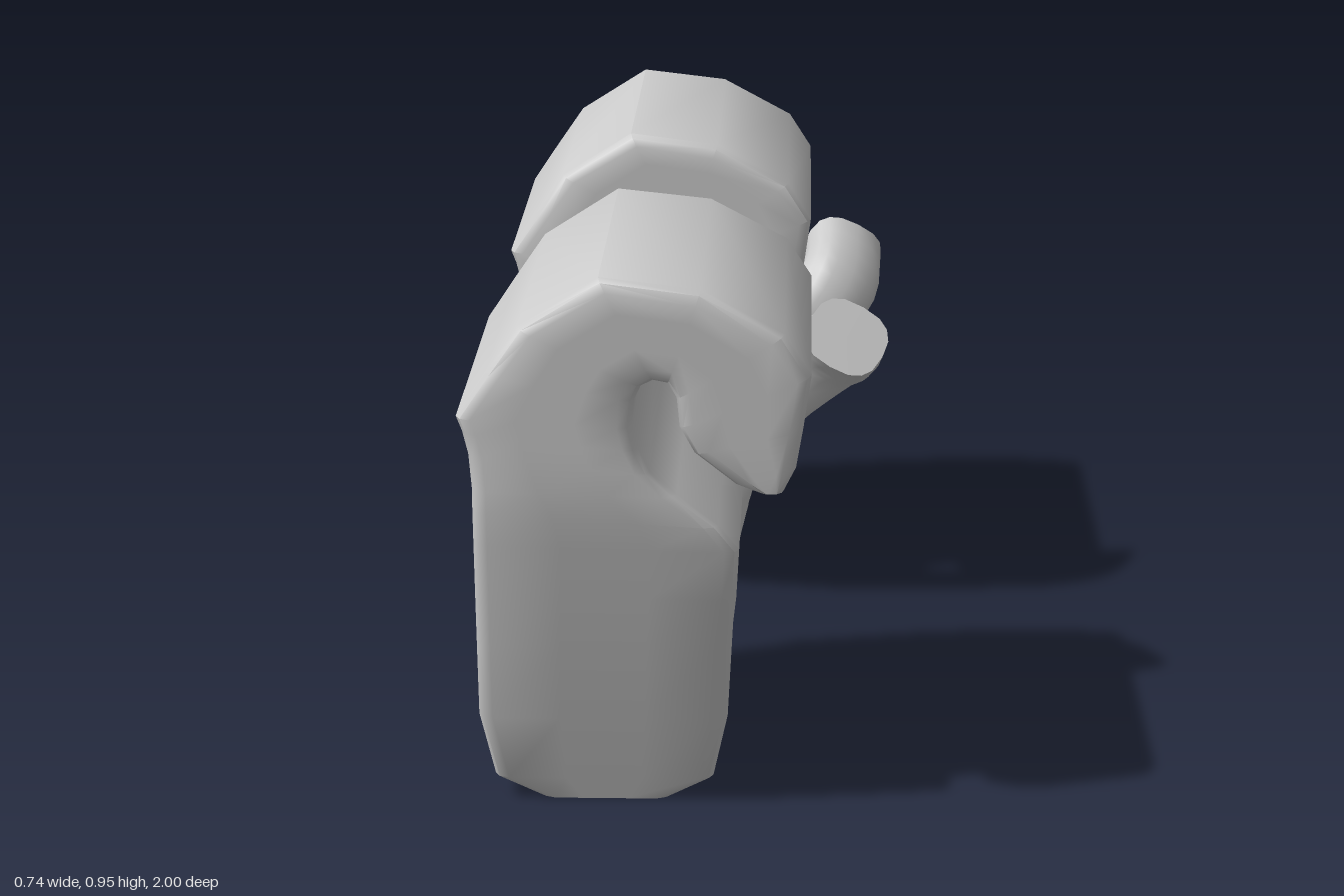
import * as THREE from 'three';
import { toCreasedNormals } from 'three/addons/utils/BufferGeometryUtils.js';

const material = new THREE.MeshStandardMaterial({ color: 0xcccccc });

// Skin a list of closed rings (arrays of Vector3) and cap both ends
function loft(rings, crease) {
  const n = rings[0].length, last = rings.length - 1;
  const points = rings.flat(), index = [];
  for (let k = 0; k < last; k++) {
    for (let i = 0; i < n; i++) {
      const j = (i + 1) % n, a = k * n, b = a + n;
      index.push(a + i, a + j, b + j, a + i, b + j, b + i);
    }
  }
  for (const k of [0, last]) {
    const c = points.length;
    points.push(rings[k].reduce((s, p) => s.add(p), new THREE.Vector3()).divideScalar(n));
    for (let i = 0; i < n; i++) {
      const a = k * n + i, b = k * n + (i + 1) % n;
      if (k === 0) index.push(c, b, a);
      else index.push(c, a, b);
    }
  }
  const geometry = new THREE.BufferGeometry().setFromPoints(points);
  geometry.setIndex(index);
  return toCreasedNormals(geometry, crease);
}

// Piecewise linear lookup in [key, value] pairs
function lookup(table, y) {
  for (let i = 1; i < table.length; i++) {
    const [y0, v0] = table[i - 1], [y1, v1] = table[i];
    if (y <= y1) return v0 + (v1 - v0) * Math.max(0, (y - y0) / (y1 - y0));
  }
  return table[table.length - 1][1];
}

// Outer z and inner z of the hand at each height
const outerZ = [[0, 0.88], [0.2, 0.928], [0.4, 0.968], [0.55, 0.995], [0.62, 1]];
const innerZ = [[0, 0.385], [0.2, 0.31], [0.4, 0.25], [0.5, 0.235], [0.65, 0.235]];

// Palm and curled fingers: pairs of back and inside outline points, from wrist to fingertips
const outline = [
  [-0.24, 0, -0.015, 0], [-0.32, 0.04, 0.06, 0.04], [-0.345, 0.16, 0.085, 0.16],
  [-0.345, 0.3, 0.09, 0.3], [-0.345, 0.4, 0.1, 0.39], [-0.345, 0.49, 0.105, 0.48],
  [-0.345, 0.55, 0.07, 0.525], [-0.345, 0.59, 0, 0.58], [-0.35, 0.65, -0.045, 0.62],
  [-0.36, 0.69, -0.065, 0.66], [-0.37, 0.715, -0.075, 0.7], [-0.32, 0.79, -0.072, 0.745],
  [-0.265, 0.87, -0.06, 0.77], [-0.13, 0.955, -0.04, 0.78], [0.04, 0.935, -0.015, 0.775],
  [0.18, 0.86, 0, 0.75], [0.225, 0.79, 0.005, 0.7], [0.212, 0.7, 0.03, 0.655],
  [0.2, 0.63, 0.1, 0.6], [0.18, 0.59, 0.14, 0.588],
];

function palmGeometry() {
  const rings = outline.map(([ax, ay, bx, by]) => {
    const width = Math.hypot(bx - ax, by - ay);
    const r = Math.min(0.025, width * 0.3) / width;
    // [position across, inset from the side face]
    const side = [[0, 0.025], [r * 0.3, 0.008], [r, 0], [0.33, 0], [0.67, 0], [1 - r, 0], [1 - r * 0.3, 0.008], [1, 0.025]];
    const at = (t, inset, front) => {
      const x = ax + (bx - ax) * t, y = ay + (by - ay) * t;
      const z = front ? lookup(outerZ, y) - inset
        : lookup(innerZ, y) - 0.05 * (x + 0.07) + inset;
      return new THREE.Vector3(x, y, z);
    };
    return [
      ...side.map(([t, inset]) => at(t, inset, true)),
      ...side.slice().reverse().map(([t, inset]) => at(t, inset, false)),
    ];
  });
  return loft(rings, 0.75);
}

// Thumb: centre, half width and half thickness of each section
const thumbSections = [
  [[-0.05, 0.12, 0.42], [0.1, 0, 0], [0, -0.02, -0.06]],
  [[-0.01, 0.3, 0.32], [0.1, -0.02, 0.01], [0, -0.02, -0.06]],
  [[0.04, 0.44, 0.25], [0.08, -0.05, 0.03], [0, -0.02, -0.06]],
  [[0.085, 0.505, 0.225], [0.055, -0.08, 0.02], [-0.01, -0.02, -0.055]],
  [[0.16, 0.555, 0.215], [0.04, -0.06, 0], [0, 0, -0.05]],
  [[0.235, 0.61, 0.213], [0.05, -0.05, 0], [0.02, 0, -0.048]],
  [[0.28, 0.66, 0.26], [0.06, -0.05, 0], [0.03, 0.03, -0.045]],
  [[0.29, 0.705, 0.375], [0.065, -0.035, 0.01], [0.03, 0.05, -0.025]],
];

function thumbGeometry() {
  const [centre, across, thick] = [0, 1, 2].map((k) =>
    new THREE.CatmullRomCurve3(thumbSections.map((s) => new THREE.Vector3(...s[k]))));
  const steps = (thumbSections.length - 1) * 3, sides = 16, rings = [];
  const soften = (v) => Math.sign(v) * Math.abs(v) ** 0.75;
  for (let k = 0; k <= steps; k++) {
    const c = centre.getPoint(k / steps), u = across.getPoint(k / steps), v = thick.getPoint(k / steps);
    rings.push(Array.from({ length: sides }, (_, i) => {
      const a = (i / sides) * Math.PI * 2;
      return c.clone().addScaledVector(u, soften(Math.cos(a))).addScaledVector(v, soften(Math.sin(a)));
    }));
  }
  return loft(rings, 0.9);
}

export function createModel() {
  const model = new THREE.Group();
  model.name = 'pairOfHands';
  const palm = palmGeometry(), thumb = thumbGeometry();
  // Two mirrored hands
  for (const sign of [1, -1]) {
    const hand = new THREE.Group();
    hand.name = sign > 0 ? 'frontHand' : 'backHand';
    const parts = { palmAndFingers: palm, thumb };
    for (const [name, geometry] of Object.entries(parts)) {
      const mesh = new THREE.Mesh(geometry, material);
      mesh.name = name;
      hand.add(mesh);
    }
    hand.scale.z = sign;
    model.add(hand);
  }
  return model;
}
